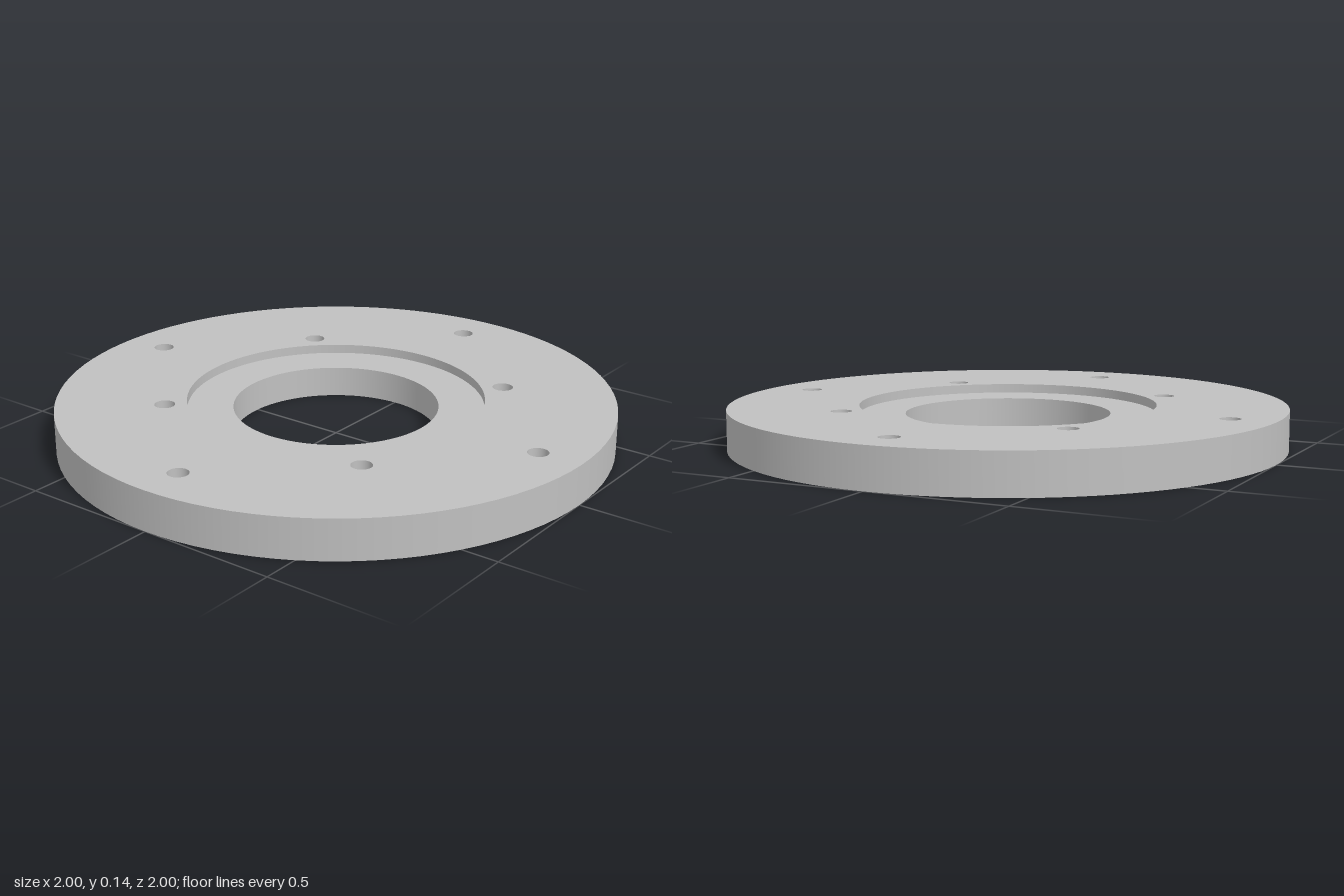
import * as THREE from 'three';

const HEIGHT = 0.145, FLOOR = 0.112;
const OUTER_R = 1, RECESS_R = 0.533, BORE_R = 0.368, HOLE_R = 0.037;
const SEGMENTS = 96;

export function createModel() {
  const steel = new THREE.MeshStandardMaterial({ color: 0xc0c0c0 });
  steel.name = 'plain grey metal';
  const group = new THREE.Group();
  group.name = 'flangePlate';

  const add = (name, geometry) => {
    const mesh = new THREE.Mesh(geometry, steel);
    mesh.name = name;
    group.add(mesh);
    return mesh;
  };

  // Round wall: rising profiles face outward, falling ones face inward
  const wall = (name, r, yStart, yEnd, segments = SEGMENTS) => add(name,
    new THREE.LatheGeometry([new THREE.Vector2(r, yStart), new THREE.Vector2(r, yEnd)], segments));

  // Two bolt circles: four outer holes on the axes, four inner on the diagonals
  const holes = [];
  for (let i = 0; i < 4; i++) {
    const a = i * Math.PI / 2, b = a + Math.PI / 4;
    holes.push([0.837 * Math.cos(a), 0.837 * Math.sin(a)]);
    holes.push([0.612 * Math.cos(b), 0.612 * Math.sin(b)]);
  }

  // Flat annular face pierced by the bolt holes
  const face = (name, innerR, y, up) => {
    const shape = new THREE.Shape().absarc(0, 0, OUTER_R, 0, Math.PI * 2);
    shape.holes.push(new THREE.Path().absarc(0, 0, innerR, 0, Math.PI * 2, true));
    for (const [x, z] of holes) {
      shape.holes.push(new THREE.Path().absarc(x, z, HOLE_R, 0, Math.PI * 2, true));
    }
    const geometry = new THREE.ShapeGeometry(shape, SEGMENTS / 2);
    geometry.rotateX(up ? -Math.PI / 2 : Math.PI / 2);
    add(name, geometry).position.y = y;
  };

  face('topFace', RECESS_R, HEIGHT, true);
  face('bottomFace', BORE_R, 0, false);

  // Recessed seat around the bore
  const seat = new THREE.RingGeometry(BORE_R, RECESS_R, SEGMENTS);
  seat.rotateX(-Math.PI / 2);
  add('recessFloor', seat).position.y = FLOOR;

  wall('outerRim', OUTER_R, 0, HEIGHT);
  wall('recessWall', RECESS_R, HEIGHT, FLOOR);
  wall('boreWall', BORE_R, FLOOR, 0);

  // Bolt hole linings
  for (const [x, z] of holes) wall('boltHole', HOLE_R, HEIGHT, 0).position.set(x, 0, z);

  return group;
}
